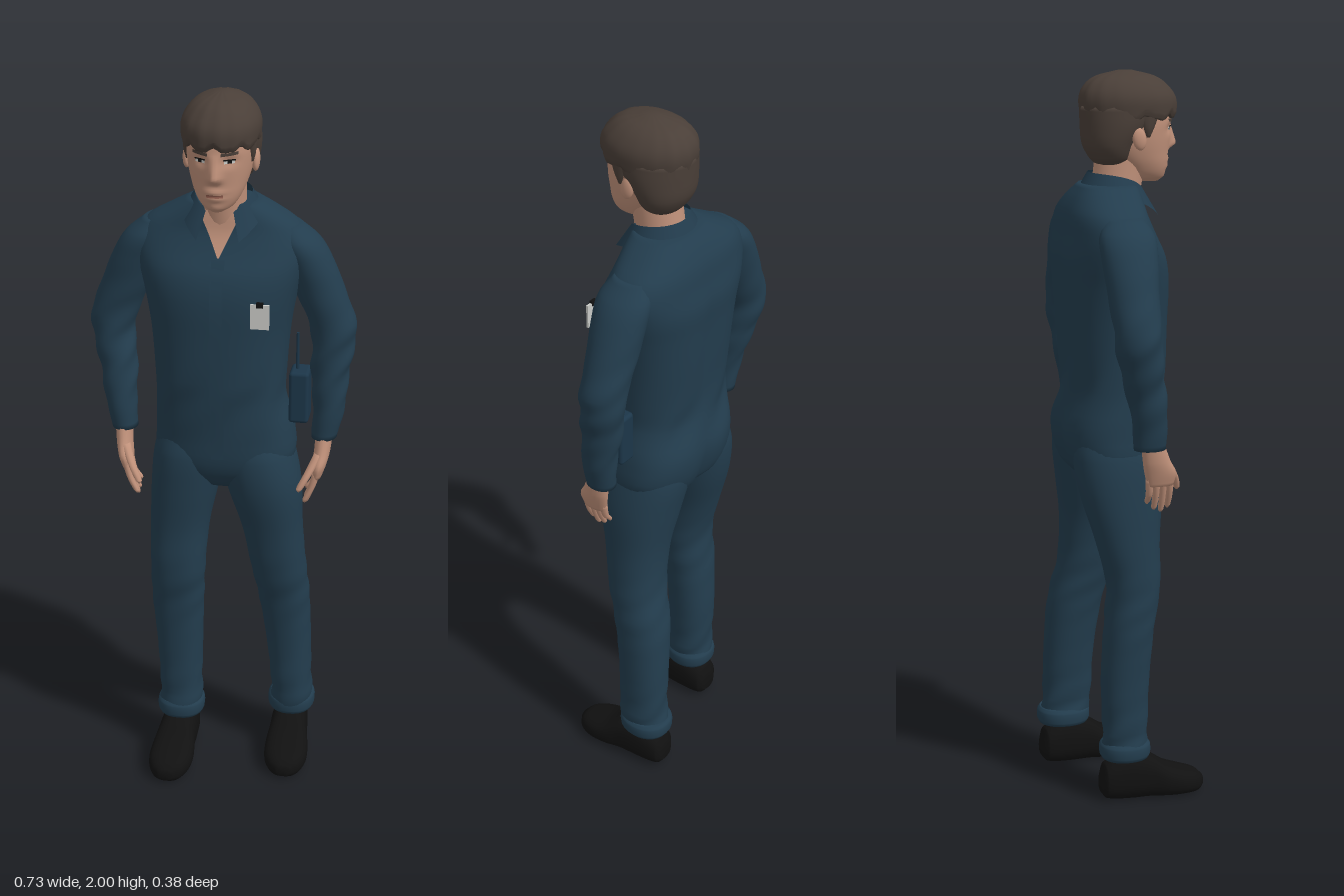
import * as THREE from 'three';
import { RoundedBoxGeometry } from 'three/addons/geometries/RoundedBoxGeometry.js';

const paint = (name, color, side = THREE.FrontSide) => {
  const m = new THREE.MeshStandardMaterial({ color, side });
  m.name = name;
  return m;
};

// Smooth interpolation of section rows [y, x, z, rx, rz] at a height
function sectionAt(rows, y) {
  let i = 0;
  while (i < rows.length - 2 && y > rows[i + 1][0]) i++;
  const a = rows[i], b = rows[i + 1], h = b[0] - a[0];
  const t = Math.min(1, Math.max(0, (y - a[0]) / h));
  const p = rows[i - 1] || a, q = rows[i + 2] || b;
  return [1, 2, 3, 4].map((k) => {
    const ma = (b[k] - p[k]) / (b[0] - p[0]) * h, mb = (q[k] - a[k]) / (q[0] - a[0]) * h;
    const t2 = t * t, t3 = t2 * t;
    return a[k] * (2 * t3 - 3 * t2 + 1) + ma * (t3 - 2 * t2 + t) + b[k] * (3 * t2 - 2 * t3) + mb * (t3 - t2);
  });
}

// Closed skin over superellipse sections, with an optional vertex rule
function loft(rows, { n = 28, steps = 4, k = 2, deform } = {}) {
  const ys = [rows[0][0]], pos = [], idx = [], v = new THREE.Vector3();
  for (let i = 1; i < rows.length; i++)
    for (let s = 1; s <= steps; s++) ys.push(rows[i - 1][0] + (rows[i][0] - rows[i - 1][0]) * s / steps);
  const pw = (c) => Math.sign(c) * Math.pow(Math.abs(c), 2 / k);
  ys.forEach((y, j) => {
    const [x, z, rx, rz] = sectionAt(rows, y);
    for (let i = 0; i < n; i++) {
      const a = i / n * Math.PI * 2;
      v.set(x + rx * pw(Math.cos(a)), y, z + rz * pw(Math.sin(a)));
      if (deform) deform(v, a);
      pos.push(v.x, v.y, v.z);
      if (j) {
        const p = (j - 1) * n + i, q = (j - 1) * n + (i + 1) % n;
        idx.push(p, p + n, q, q, p + n, q + n);
      }
    }
  });
  const last = (ys.length - 1) * n, c = ys.length * n;
  for (const y of [ys[0], ys[ys.length - 1]]) {
    const [x, z] = sectionAt(rows, y);
    pos.push(x, y, z);
  }
  for (let i = 0; i < n; i++) {
    const m = (i + 1) % n;
    idx.push(c, i, m, c + 1, last + m, last + i);
  }
  const g = new THREE.BufferGeometry();
  g.setAttribute('position', new THREE.Float32BufferAttribute(pos, 3));
  g.setIndex(idx);
  g.computeVertexNormals();
  return g;
}

// Thin plate that follows the front of a lofted form; taper narrows its lower end
function plate(rows, k, deform, x, y, w, h, { taper = 1, lift = 0.003, tilt = 0 } = {}) {
  const g = new THREE.PlaneGeometry(w, h, 8, 8), p = g.attributes.position, v = new THREE.Vector3();
  for (let i = 0; i < p.count; i++) {
    const t = p.getY(i) / h + 0.5;
    const px = p.getX(i) * (taper + (1 - taper) * t), py = y + p.getY(i) + px * tilt;
    const [cx, cz, rx, rz] = sectionAt(rows, py);
    const d = Math.min(1, Math.abs((x + px - cx) / rx));
    v.set(x + px, py, cz + rz * Math.pow(1 - Math.pow(d, k), 1 / k));
    if (deform) deform(v, Math.PI / 2);
    p.setXYZ(i, v.x, v.y, v.z + lift);
  }
  g.computeVertexNormals();
  return g;
}

export function createModel() {
  const model = new THREE.Group();
  const suit = paint('suit blue', 0x233d4e), skin = paint('skin', 0xc0917a), hair = paint('hair brown', 0x4a3f38);
  const black = paint('shoe black', 0x111111), white = paint('card white', 0xc9cac6), lip = paint('lip', 0x935f50);
  const collarCloth = paint('collar blue', 0x223b4c, THREE.DoubleSide), pouchBlue = paint('pouch blue', 0x1c3649);
  const add = (name, geo, mat, parent = model) => {
    const m = new THREE.Mesh(geo, mat);
    m.name = name;
    parent.add(m);
    return m;
  };
  const mirror = (rows, s) => rows.map(([y, x, ...r]) => [y, x * s, ...r]);
  const bell = (d, w) => Math.exp(-(d * d) / (w * w));

  // Torso, with soft gathers at the waist and a spine hollow
  const torso = [
    [0.89, 0.01, -0.04, 0.07, 0.07], [0.95, 0.012, -0.045, 0.18, 0.118], [1.05, 0.01, -0.05, 0.19, 0.135],
    [1.15, 0, -0.035, 0.177, 0.128], [1.22, 0, -0.032, 0.178, 0.133], [1.35, 0, -0.035, 0.188, 0.14],
    [1.45, 0, -0.037, 0.205, 0.143], [1.52, 0, -0.045, 0.222, 0.138], [1.58, 0, -0.055, 0.232, 0.117],
    [1.63, 0, -0.06, 0.208, 0.102], [1.67, 0.005, -0.052, 0.15, 0.09], [1.705, 0.008, -0.04, 0.09, 0.075]];
  const torsoFolds = (v, a) => {
    v.z += 0.004 * Math.sin(a * 7 + v.y * 30) * bell(v.y - 1.15, 0.08);
    if (v.z < -0.1) v.z += 0.012 * bell(v.x, 0.03) * bell(v.y - 1.35, 0.2) + 0.014 * bell(v.x - 0.01, 0.03) * bell(v.y - 0.98, 0.09);
  };
  add('torso', loft(torso, { n: 48, k: 2.4, deform: torsoFolds }), suit);
  add('frontPlacket', plate(torso, 2.4, torsoFolds, 0.008, 1.28, 0.035, 0.57), suit);
  add('openNeckSkin', plate(torso, 2.4, torsoFolds, 0.008, 1.63, 0.115, 0.12, { taper: 0.04, lift: 0.006 }), skin);

  // Folded collar, open at the front, with points running down beside the throat
  const collar = new THREE.PlaneGeometry(1, 1, 40, 5), cp = collar.attributes.position;
  for (let i = 0; i < cp.count; i++) {
    const u = cp.getX(i) * 2, v = 0.5 - cp.getY(i);
    const a = u * (Math.PI - 0.5), f = Math.pow(Math.abs(u), 3);
    const r = 0.07 + 0.026 * v + 0.012 * f * v;
    cp.setXYZ(i, 0.008 + Math.sin(a) * r * 1.08, 1.735 - 0.045 * f - v * (0.045 + 0.025 * f),
      -0.022 - Math.cos(a) * r * (1 + 0.12 * f));
  }
  collar.computeVertexNormals();
  add('collar', collar, collarCloth);

  // Legs with hems
  const legs = {
    right: [[0.13, -0.118, -0.035, 0.062, 0.065], [0.2, -0.118, -0.035, 0.06, 0.062], [0.35, -0.12, -0.035, 0.065, 0.066],
      [0.5, -0.123, -0.025, 0.073, 0.068], [0.62, -0.12, -0.012, 0.077, 0.073], [0.75, -0.115, -0.027, 0.083, 0.088],
      [0.88, -0.1, -0.04, 0.095, 0.113], [0.98, -0.088, -0.045, 0.098, 0.122], [1.05, -0.08, -0.05, 0.085, 0.11]],
    left: [[0.13, 0.197, -0.115, 0.062, 0.07], [0.2, 0.197, -0.105, 0.058, 0.07], [0.35, 0.188, -0.1, 0.064, 0.072],
      [0.5, 0.175, -0.085, 0.072, 0.078], [0.62, 0.16, -0.057, 0.078, 0.08], [0.75, 0.143, -0.045, 0.085, 0.09],
      [0.88, 0.12, -0.04, 0.103, 0.113], [0.98, 0.1, -0.045, 0.103, 0.122], [1.05, 0.085, -0.05, 0.09, 0.11]] };
  const legFolds = (v, a) => {
    v.x += 0.003 * Math.sin(v.y * 75 + a * 2) * (bell(v.y - 0.17, 0.1) + 0.6 * bell(v.y - 0.55, 0.1));
    v.z += 0.003 * Math.sin(v.y * 60 + a * 3) * (bell(v.y - 0.17, 0.1) + 0.6 * bell(v.y - 0.55, 0.1));
  };
  const shoe = [[-0.148, 0, -0.045, 0.025, 0.025], [-0.135, 0, -0.055, 0.042, 0.05], [-0.07, 0, -0.066, 0.052, 0.068],
    [-0.01, 0, -0.06, 0.055, 0.062], [0.04, 0, -0.043, 0.062, 0.047], [0.09, 0, -0.034, 0.06, 0.037],
    [0.13, 0, -0.028, 0.042, 0.029], [0.148, 0, -0.025, 0.018, 0.015]];
  for (const side of ['right', 'left']) {
    const rows = legs[side], [, x, z, rx, rz] = rows[0];
    add(side + 'Leg', loft(rows, { n: 32, steps: 6, k: 2.2, deform: legFolds }), suit);
    add(side + 'Hem', loft([[0.122, x, z, rx, rz], [0.132, x, z, rx + 0.005, rz + 0.005],
      [0.158, x, z, rx + 0.005, rz + 0.005], [0.17, x, z, rx - 0.003, rz - 0.003]], { k: 2.2 }), suit);
    const s = add(side + 'Shoe', loft(shoe, { k: 2.5, deform: (v) => { v.z = Math.min(v.z, 0); } }).rotateX(Math.PI / 2), black);
    s.position.set(side === 'right' ? -0.122 : 0.198, 0, side === 'right' ? 0.043 : -0.035);
    s.rotation.y = side === 'right' ? -0.04 : 0.04;
  }

  // Sleeves and hands; d widens the left forearm stance slightly
  for (const [side, s, d, dz] of [['right', -1, 0, 0.018], ['left', 1, 0.018, 0]]) {
    const arm = [[1.035, 0.266 + d, -0.035 + dz, 0.035, 0.043], [1.12, 0.277 + d, -0.04 + dz, 0.043, 0.048],
      [1.22, 0.286 + d / 2, -0.05 + dz / 2, 0.052, 0.055], [1.3, 0.301, -0.058, 0.058, 0.06],
      [1.36, 0.297, -0.062, 0.064, 0.062], [1.45, 0.262, -0.062, 0.068, 0.067], [1.53, 0.232, -0.06, 0.066, 0.074],
      [1.59, 0.203, -0.058, 0.06, 0.074], [1.635, 0.175, -0.058, 0.035, 0.05]];
    const folds = (v, a) => {
      v.x += 0.003 * Math.sin(v.y * 70 + a * 2) * bell(v.y - 1.25, 0.16);
      v.z += 0.003 * Math.sin(v.y * 55 + a * 3) * bell(v.y - 1.25, 0.16);
    };
    add(side + 'Sleeve', loft(mirror(arm, s), { n: 28, steps: 6, deform: folds }), suit);
    const hand = new THREE.Group();
    hand.name = side + 'Hand';
    hand.position.set(s * d, 0, dz);
    model.add(hand);
    add('palm', loft(mirror([[0.93, 0.252, 0.0, 0.014, 0.036], [0.965, 0.258, -0.002, 0.02, 0.044],
      [1.0, 0.264, -0.015, 0.022, 0.038], [1.06, 0.268, -0.03, 0.024, 0.03]], s), { n: 18 }), skin, hand);
    [0.86, 0.85, 0.857, 0.875].forEach((tip, i) => {
      const z = 0.026 - i * 0.019;
      add('finger', loft(mirror([[tip, 0.222, z + 0.004, 0.003, 0.003], [tip + 0.008, 0.225, z + 0.004, 0.0075, 0.0075],
        [0.905, 0.242, z + 0.003, 0.009, 0.009], [0.95, 0.254, z, 0.011, 0.011]], s), { n: 10 }), skin, hand);
    });
    add('thumb', loft(mirror([[0.905, 0.21, 0.062, 0.003, 0.003], [0.913, 0.212, 0.06, 0.009, 0.009],
      [0.95, 0.232, 0.045, 0.011, 0.011], [1.0, 0.258, 0.008, 0.013, 0.015]], s), { n: 10 }), skin, hand);
  }

  // Neck and face, with nose, eye sockets and lips shaped by rule
  add('neck', loft([[1.6, 0.008, -0.035, 0.07, 0.07], [1.68, 0.008, -0.018, 0.062, 0.068], [1.8, 0.008, 0.0, 0.062, 0.07]]), skin);
  const face = [[1.706, 0.008, 0.075, 0.018, 0.026], [1.72, 0.008, 0.062, 0.042, 0.053], [1.75, 0.008, 0.05, 0.062, 0.073],
    [1.79, 0.008, 0.03, 0.077, 0.097], [1.83, 0.008, 0.019, 0.086, 0.112], [1.87, 0.008, 0.018, 0.089, 0.115],
    [1.92, 0.008, 0.012, 0.086, 0.11], [1.96, 0.008, 0.01, 0.06, 0.08]];
  const features = (v) => {
    if (v.z < 0.06) return;
    const x = v.x - 0.008, y = v.y;
    const ridge = y > 1.803 ? Math.max(0, 1 - (y - 1.803) / 0.065) : Math.max(0, 1 - (1.803 - y) / 0.018);
    v.z += 0.027 * ridge * bell(x, 0.016) - 0.008 * bell(Math.abs(x) - 0.038, 0.02) * bell(y - 1.848, 0.014);
    v.z += 0.006 * bell(x, 0.026) * (bell(y - 1.765, 0.007) + bell(y - 1.747, 0.008)) + 0.004 * bell(x, 0.02) * bell(y - 1.72, 0.012);
  };
  add('face', loft(face, { n: 80, steps: 7, k: 2.15, deform: features }), skin);
  const onFace = (name, mat, x, y, w, h, o) => add(name, plate(face, 2.15, features, 0.008 + x, y, w, h, o), mat);
  for (const s of [-1, 1]) {
    onFace('eyeWhite', white, s * 0.038, 1.847, 0.026, 0.008);
    onFace('iris', black, s * 0.038, 1.848, 0.01, 0.009, { lift: 0.0045 });
    onFace('upperLid', black, s * 0.038, 1.853, 0.03, 0.004, { lift: 0.005 });
    onFace('eyebrow', hair, s * 0.038, 1.869, 0.042, 0.008, { lift: 0.004, tilt: s * 0.08 });
    const ear = add('ear', new THREE.SphereGeometry(1, 16, 12), skin);
    ear.scale.set(0.011, 0.031, 0.019);
    ear.position.set(0.008 + s * 0.09, 1.827, 0.018);
    ear.rotation.x = -0.2;
  }
  onFace('mouth', lip, 0, 1.756, 0.044, 0.008);

  // Hair: a cap with an uneven fringe, the back of the head, and sideburns
  const strands = (v, a) => {
    if (v.y < 1.9) v.y += 0.006 * Math.sin(a * 9) + 0.003 * Math.sin(a * 17);
    v.z += 0.0015 * Math.sin(a * 14);
  };
  add('hairCap', loft([[1.878, 0.008, 0.018, 0.097, 0.122], [1.895, 0.008, 0.018, 0.102, 0.13], [1.93, 0.008, 0.015, 0.102, 0.13],
    [1.96, 0.008, 0.01, 0.087, 0.113], [1.985, 0.008, 0.008, 0.058, 0.08], [2.0, 0.008, 0.008, 0.015, 0.02]],
  { n: 64, k: 2.1, deform: strands }), hair);
  add('hairBack', loft([[1.755, 0.008, -0.03, 0.052, 0.042], [1.775, 0.008, -0.033, 0.074, 0.057], [1.81, 0.008, -0.033, 0.09, 0.074],
    [1.86, 0.008, -0.014, 0.1, 0.098], [1.91, 0.008, 0.0, 0.1, 0.114]], { n: 40 }), hair);
  for (const s of [-1, 1])
    add('sideburn', loft([[1.83, 0.008 + s * 0.078, 0.045, 0.01, 0.007], [1.855, 0.008 + s * 0.08, 0.045, 0.014, 0.018],
      [1.9, 0.008 + s * 0.08, 0.045, 0.016, 0.035]], { n: 14 }), hair);

  // Chest card with its clip
  add('chestCard', new THREE.BoxGeometry(0.05, 0.068, 0.006), white).position.set(0.125, 1.43, 0.114);
  add('cardClip', new THREE.BoxGeometry(0.018, 0.014, 0.009), black).position.set(0.125, 1.463, 0.114);

  // Hip radio and aerial
  add('hipRadio', new RoundedBoxGeometry(0.054, 0.148, 0.075, 3, 0.01), pouchBlue).position.set(0.216, 1.155, -0.035);
  add('aerial', new THREE.CylinderGeometry(0.004, 0.005, 0.11, 10), pouchBlue).position.set(0.208, 1.278, -0.035);
  return model;
}
